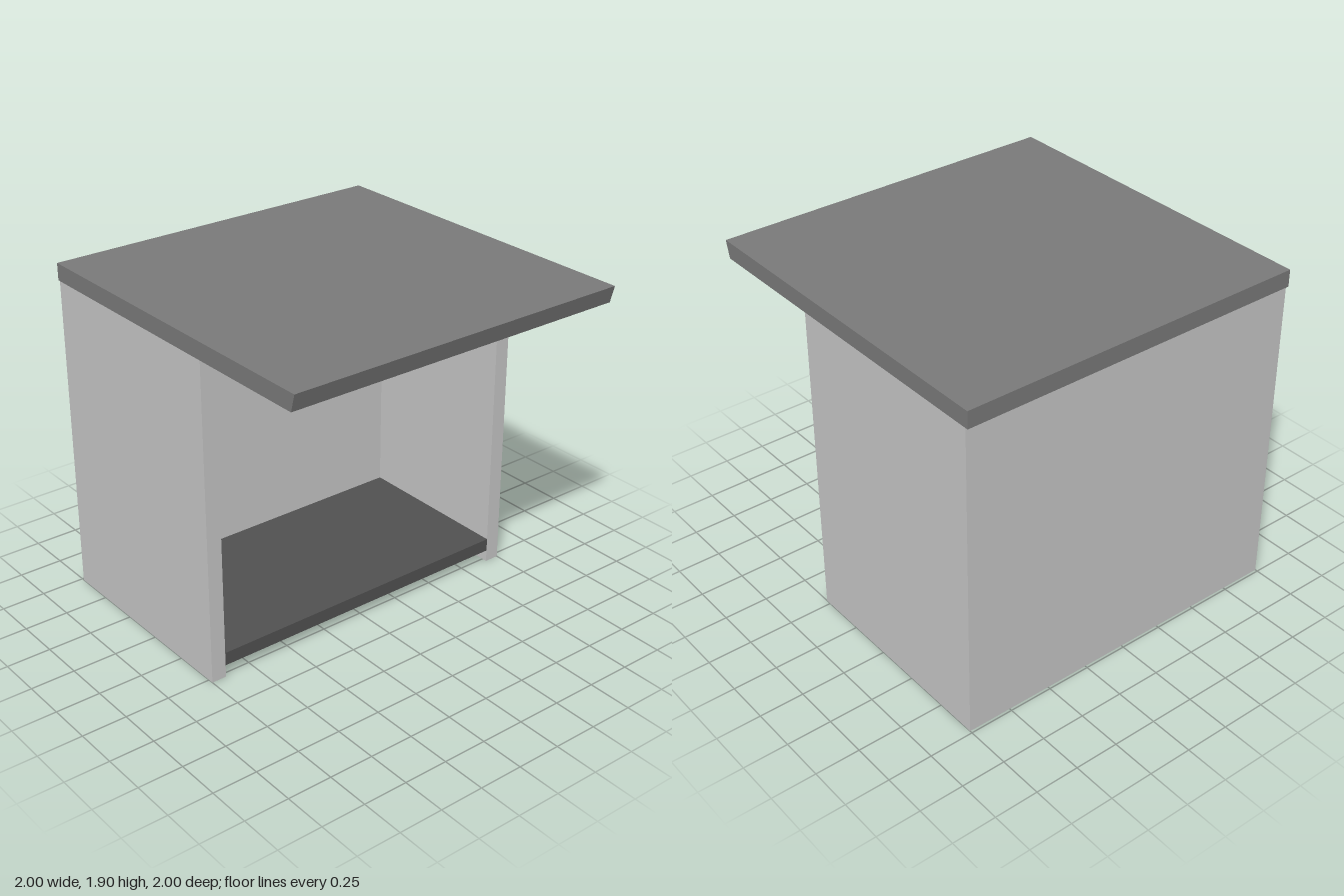
import * as THREE from 'three';

const material = (name, color) => {
  const m = new THREE.MeshStandardMaterial({ color });
  m.name = name;
  return m;
};

const extrude = (points, depth) => new THREE.ExtrudeGeometry(
  new THREE.Shape(points.map(([x, y]) => new THREE.Vector2(x, y))),
  { depth, bevelEnabled: false }
);

export function createModel() {
  const group = new THREE.Group();
  group.name = 'shelter';
  const add = (name, geometry, mat) => {
    const mesh = new THREE.Mesh(geometry, mat);
    mesh.name = name;
    group.add(mesh);
    return mesh;
  };

  const lightGrey = material('light grey walls', 0xc8c8c8);
  const midGrey = material('mid grey roof', 0x7b7b7b);
  const darkGrey = material('dark grey floor', 0x525252);

  const roofBottom = 1.805, roofTop = 1.9;
  const wallFront = 0.28, wallBack = -0.985, innerBack = -0.67, inner = 0.915;

  // U-shaped shell: two side walls and a thick back, open at the front (plan as x, -z)
  const plan = [
    [-1, -wallFront], [-inner, -wallFront], [-inner, -innerBack], [inner, -innerBack],
    [inner, -wallFront], [1, -wallFront], [1, -wallBack], [-1, -wallBack],
  ];
  add('walls', extrude(plan, roofBottom).rotateX(-Math.PI / 2), lightGrey);

  // Overhanging roof slab with a slanted front edge (side profile as z, y)
  const profile = [[-1, roofBottom], [0.975, roofBottom], [1, roofTop], [-1, roofTop]];
  add('roof', extrude(profile, 2).rotateY(-Math.PI / 2).translate(1, 0, 0), midGrey);

  // Raised floor between the walls
  const floor = add('floor', new THREE.BoxGeometry(inner * 2, 0.075, wallFront - innerBack), darkGrey);
  floor.position.set(0, 0.1075, (wallFront + innerBack) / 2);

  return group;
}
